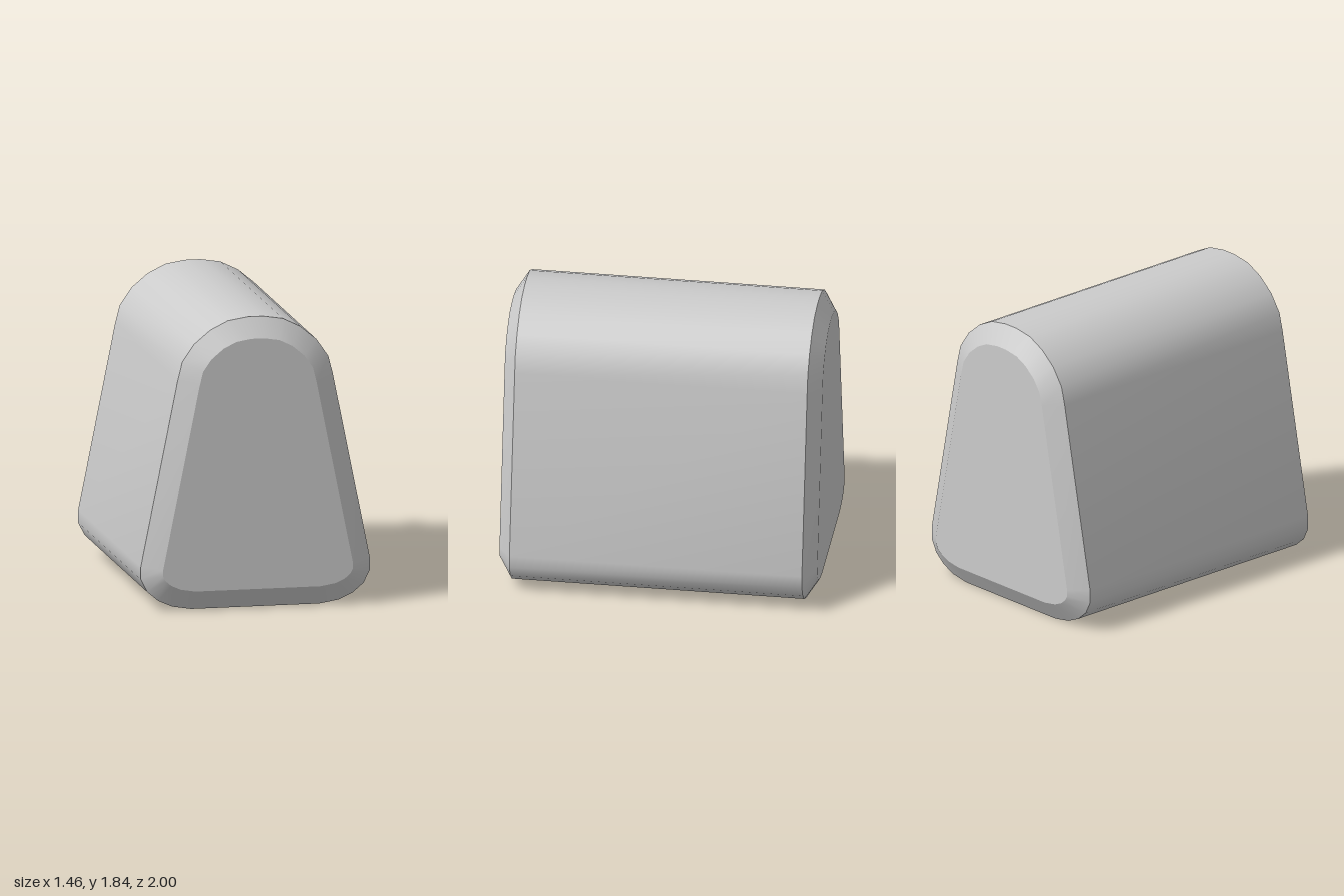
import * as THREE from 'three';
import { toCreasedNormals } from 'three/addons/utils/BufferGeometryUtils.js';

export function createModel() {
  const group = new THREE.Group();
  group.name = 'taperedBlock';

  // Right half of the rounded, tapered outline, from bottom to top
  const half = [
    [0.41, 0], [0.53, 0.02], [0.62, 0.06], [0.69, 0.12], [0.73, 0.2], [0.73, 0.28],
    [0.495, 1.455], [0.466, 1.57], [0.39, 1.68], [0.288, 1.765], [0.176, 1.82], [0.05, 1.84],
  ].map(([x, y]) => new THREE.Vector2(x, y));
  const mirrored = half.map((p) => new THREE.Vector2(-p.x, p.y)).reverse();
  const outline = new THREE.Shape([...half, ...mirrored]);

  // Extruded along z, with one chamfer inset at each end
  const chamfer = 0.125;
  const chamferDepth = 0.08;
  const depth = 2 - 2 * chamferDepth;
  const geometry = new THREE.ExtrudeGeometry(outline, {
    depth,
    bevelEnabled: true,
    bevelSegments: 1,
    bevelSize: chamfer,
    bevelOffset: -chamfer,
    bevelThickness: chamferDepth,
  });
  geometry.translate(0, 0, -depth / 2);

  // Smooth around the outline, sharp at the chamfer edges
  const body = new THREE.Mesh(
    toCreasedNormals(geometry, 0.5),
    new THREE.MeshStandardMaterial({ color: 0xcccccc }),
  );
  body.name = 'body';
  group.add(body);
  return group;
}
